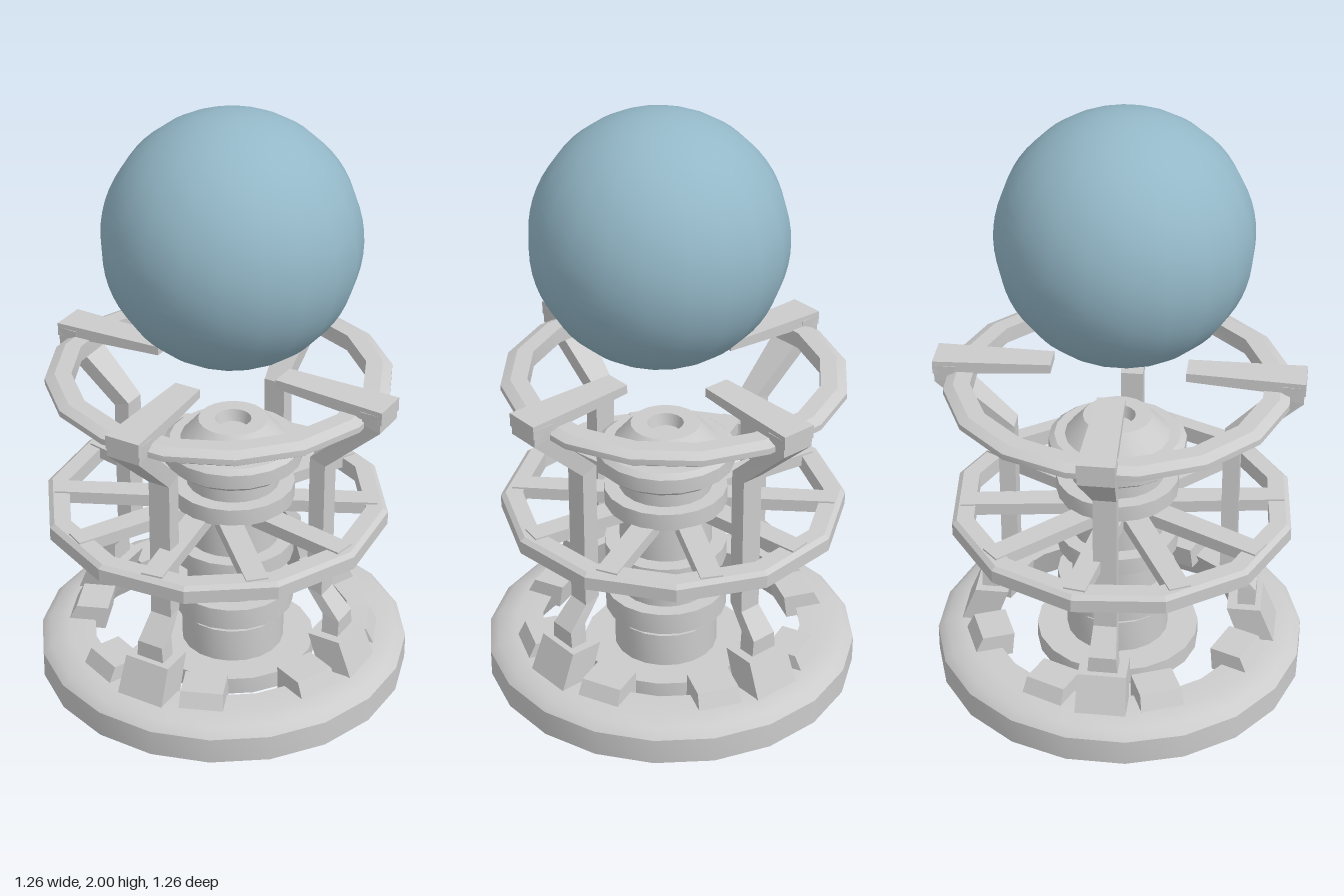
import * as THREE from 'three';
import { toCreasedNormals } from 'three/addons/utils/BufferGeometryUtils.js';

const grey = new THREE.MeshStandardMaterial({ color: 0xcccccc });
const blue = new THREE.MeshStandardMaterial({ color: 0x94b8c8 });

function addMesh(parent, name, geometry, material = grey) {
  const mesh = new THREE.Mesh(geometry, material);
  mesh.name = name;
  parent.add(mesh);
  return mesh;
}

// Revolved [radius, y] profile, listed counter-clockwise, with sharp edges kept
function turned(profile, sides, crease = 0.5) {
  const points = profile.map(([r, y]) => new THREE.Vector2(r, y));
  return toCreasedNormals(new THREE.LatheGeometry(points, sides), crease);
}

// Bar lofted through sections [[z, y] first edge, [z, y] second edge, half width]
function bar(sections) {
  const position = [], index = [];
  for (const [[az, ay], [bz, by], w] of sections) {
    position.push(-w, ay, az, w, ay, az, w, by, bz, -w, by, bz);
  }
  for (let i = 0; i < sections.length - 1; i++) {
    for (let j = 0; j < 4; j++) {
      const a = i * 4 + j, b = i * 4 + (j + 1) % 4;
      index.push(a, b, b + 4, a, b + 4, a + 4);
    }
  }
  const e = (sections.length - 1) * 4;
  index.push(0, 2, 1, 0, 3, 2, e, e + 1, e + 2, e, e + 2, e + 3);
  const geometry = new THREE.BufferGeometry();
  geometry.setAttribute('position', new THREE.Float32BufferAttribute(position, 3));
  geometry.setIndex(index);
  const flat = geometry.toNonIndexed();
  flat.computeVertexNormals();
  return flat;
}

// Copies one geometry around the vertical axis
function radial(parent, name, geometry, count, offset) {
  for (let i = 0; i < count; i++) {
    addMesh(parent, name, geometry).rotation.y = offset + (i * Math.PI * 2) / count;
  }
}

export function createModel() {
  const model = new THREE.Group();
  model.name = 'orbStand';
  const twist = THREE.MathUtils.degToRad(9.5);

  // Floating orb
  addMesh(model, 'orb', new THREE.SphereGeometry(0.413, 20, 32), blue)
    .position.set(-0.005, 1.587, 0.04);

  // Heavy base ring, open in the middle
  addMesh(model, 'baseRing', turned([
    [0.5, 0], [0.63, 0], [0.63, 0.09], [0.6, 0.117], [0.535, 0.13],
    [0.445, 0.13], [0.5, 0],
  ], 20, 0.6));

  // Raised teeth between the feet
  radial(model, 'baseTooth', bar([
    [[0.54, 0.1], [0.4, 0.1], 0.075],
    [[0.5, 0.18], [0.39, 0.18], 0.07],
  ]), 8, twist + Math.PI / 8);

  // Central column with its flanges and hollow tip
  const column = addMesh(model, 'column', turned([
    [0, 0.02], [0.28, 0.02], [0.28, 0.08], [0.175, 0.08], [0.175, 0.2],
    [0.156, 0.2], [0.156, 0.23], [0.206, 0.23], [0.206, 0.307], [0.156, 0.307],
    [0.156, 0.425], [0.206, 0.425], [0.206, 0.487], [0.156, 0.487],
    [0.156, 0.64], [0.206, 0.64], [0.206, 0.7], [0.156, 0.7],
    [0.156, 0.775], [0.205, 0.775], [0.23, 0.795], [0.23, 0.845], [0.21, 0.86],
    [0.175, 0.86], [0.115, 0.93], [0.06, 0.93], [0.05, 0.89], [0, 0.89],
  ], 20));
  column.position.set(0.016, 0, 0.03);

  // Spoked wheel around the column
  const wheel = new THREE.Group();
  wheel.name = 'spokedWheel';
  wheel.position.set(-0.015, 0, -0.018);
  model.add(wheel);
  addMesh(wheel, 'wheelRim', turned([
    [0.505, 0.58], [0.578, 0.58], [0.578, 0.625], [0.562, 0.637],
    [0.505, 0.637], [0.505, 0.58],
  ], 12, 0.3));
  radial(wheel, 'spoke', bar([
    [[0.54, 0.643], [0.54, 0.6], 0.036],
    [[0.12, 0.643], [0.12, 0.6], 0.04],
  ]), 10, 0);

  // Upper ring carried by the legs
  addMesh(model, 'upperRing', turned([
    [0.48, 1.055], [0.535, 1.055], [0.567, 1.075], [0.567, 1.095], [0.535, 1.11],
    [0.48, 1.11], [0.48, 1.055],
  ], 16, 0.4)).position.z = -0.015;

  // Four bent legs with sloped feet and inward-pointing arms
  const legShape = bar([
    [[0.47, 0.2], [0.41, 0.2], 0.053],
    [[0.47, 0.307], [0.41, 0.32], 0.045],
    [[0.4, 0.385], [0.345, 0.4], 0.038],
    [[0.4, 0.88], [0.345, 0.9], 0.038],
    [[0.6, 1.07], [0.54, 1.085], 0.058],
    [[0.6, 1.13], [0.53, 1.13], 0.06],
  ]);
  const footShape = bar([
    [[0.55, 0.1], [0.43, 0.1], 0.085],
    [[0.49, 0.25], [0.376, 0.25], 0.08],
  ]);
  const armShape = bar([
    [[0.605, 1.145], [0.605, 1.1], 0.06],
    [[0.22, 1.15], [0.22, 1.12], 0.045],
  ]);
  radial(model, 'leg', legShape, 4, twist);
  radial(model, 'foot', footShape, 4, twist);
  radial(model, 'arm', armShape, 4, twist);

  return model;
}
